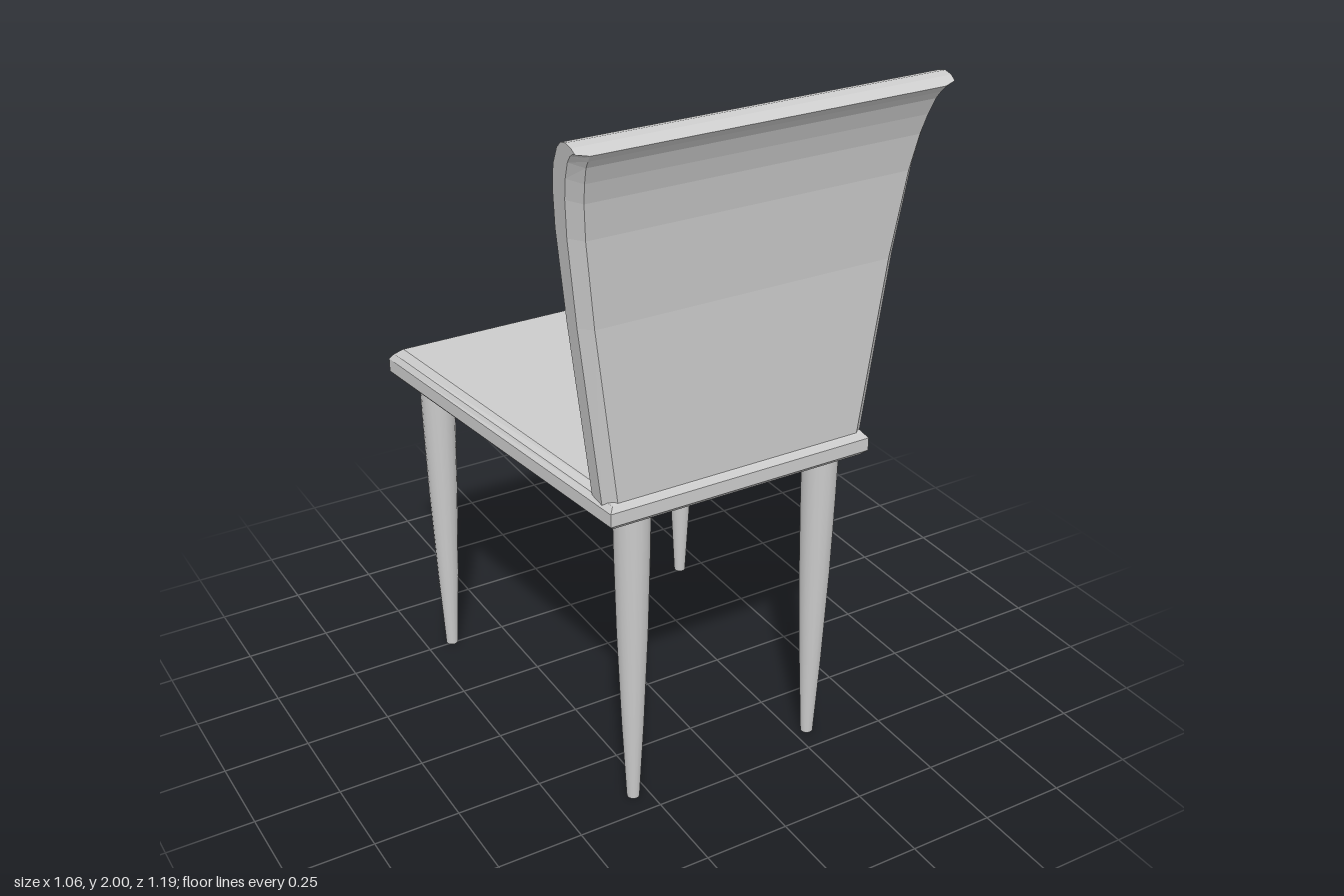
import * as THREE from 'three';

const grey = new THREE.MeshStandardMaterial({ color: 0xcccccc });
const greyFlat = new THREE.MeshStandardMaterial({ color: 0xcccccc, flatShading: true });

// Solid through matching convex rings of [x, y, z], closed at both ends
function loft(name, rings) {
  const pos = [];
  const tri = (a, b, c) => pos.push(...a, ...b, ...c);
  const n = rings[0].length, last = rings[rings.length - 1];
  for (let i = 0; i < rings.length - 1; i++) {
    for (let j = 0; j < n; j++) {
      const k = (j + 1) % n, p = rings[i], q = rings[i + 1];
      tri(p[j], p[k], q[k]);
      tri(p[j], q[k], q[j]);
    }
  }
  for (let j = 1; j < n - 1; j++) {
    tri(rings[0][0], rings[0][j + 1], rings[0][j]);
    tri(last[0], last[j], last[j + 1]);
  }
  const geo = new THREE.BufferGeometry();
  geo.setAttribute('position', new THREE.Float32BufferAttribute(pos, 3));
  geo.computeVertexNormals();
  const mesh = new THREE.Mesh(geo, greyFlat);
  mesh.name = name;
  return mesh;
}

// Trapezoid seat with a rounded rim: [inset, y at backrest end, y at open end]
function createSeat() {
  const rows = [[0.014, 0.932, 0.932], [0, 0.947, 0.947], [0, 0.985, 0.987], [0.012, 0.999, 1.005], [0.033, 1.008, 1.024]];
  return loft('seat', rows.map(([d, yBack, yOpen]) => {
    const zBack = 0.5 - d, zOpen = -0.593 + d, xBack = 0.398 - d, xOpen = 0.53 - d;
    return [[xBack, yBack, zBack], [xOpen, yOpen, zOpen], [-xOpen, yOpen, zOpen], [-xBack, yBack, zBack]];
  }));
}

// Flared backrest curling outwards at the top: [inner z, inner y, outer z, outer y]
function createBackrest() {
  const rows = [
    [0.405, 0.98, 0.483, 0.98],
    [0.41, 1.5, 0.492, 1.5],
    [0.424, 1.75, 0.511, 1.74],
    [0.443, 1.86, 0.53, 1.84],
    [0.465, 1.925, 0.547, 1.895],
    [0.497, 1.975, 0.566, 1.94],
    [0.52, 1.994, 0.58, 1.96],
    [0.545, 2.0, 0.59, 1.972],
    [0.57, 1.995, 0.595, 1.978],
  ];
  const halfWidth = (y) => 0.4 + 0.127 * (y - 1);
  return loft('backrest', rows.map(([zi, yi, zo, yo]) => {
    const zm = zi + (zo - zi) * 0.65, ym = yi + (yo - yi) * 0.65;
    const side = [[halfWidth(yo) - 0.032, yo, zo], [halfWidth(ym), ym, zm], [halfWidth(yi), yi, zi]];
    return [...side, ...side.map(([x, y, z]) => [-x, y, z]).reverse()];
  }));
}

// Round tapering leg
function createLeg(name, x, z) {
  const profile = [[0.018, 0], [0.031, 0.25], [0.043, 0.55], [0.049, 0.8], [0.051, 0.94]];
  const group = new THREE.Group();
  group.name = name;
  const shaft = new THREE.Mesh(new THREE.LatheGeometry(profile.map(([r, y]) => new THREE.Vector2(r, y)), 16), grey);
  shaft.name = name + 'Shaft';
  const foot = new THREE.Mesh(new THREE.CircleGeometry(0.018, 16).rotateX(Math.PI / 2), grey);
  foot.name = name + 'Foot';
  group.add(shaft, foot);
  group.position.set(x, 0, z);
  return group;
}

export function createModel() {
  const chair = new THREE.Group();
  chair.name = 'chair';
  chair.add(createSeat(), createBackrest());
  for (const s of [1, -1]) {
    const side = s > 0 ? 'left' : 'right';
    chair.add(createLeg(side + 'BackrestLeg', s * 0.294, 0.424));
    chair.add(createLeg(side + 'OpenEndLeg', s * 0.42, -0.508));
  }
  return chair;
}
